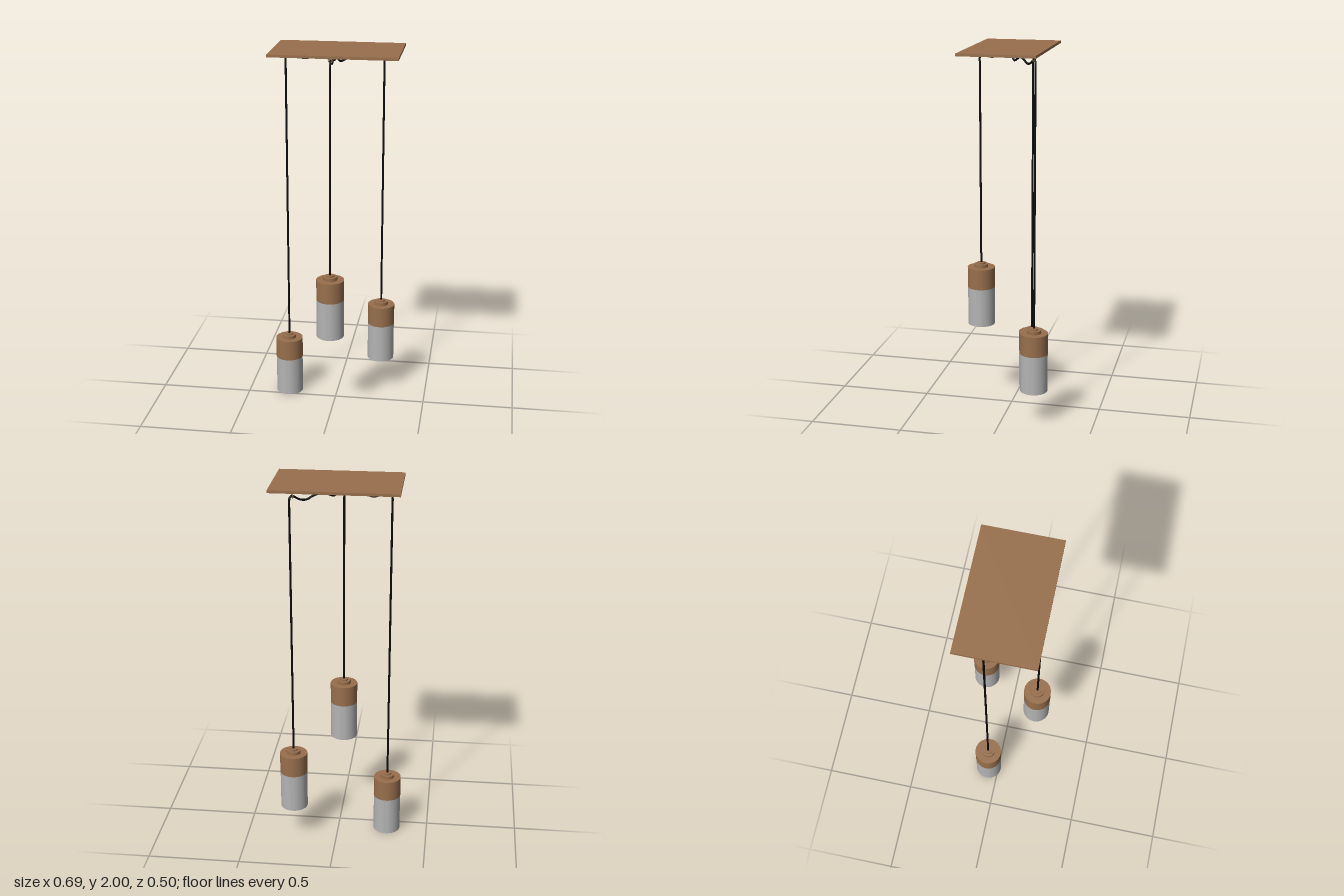
import * as THREE from 'three';
import { toCreasedNormals } from 'three/addons/utils/BufferGeometryUtils.js';

export function createModel() {
  const wood = new THREE.MeshStandardMaterial({ color: 0x986f4c });
  wood.name = 'wood';
  const glass = new THREE.MeshStandardMaterial({ color: 0xb4b4b4 });
  glass.name = 'greyShade';
  const black = new THREE.MeshStandardMaterial({ color: 0x0a0a0c });
  black.name = 'blackCable';

  const model = new THREE.Group();
  model.name = 'pendantLamp';

  function add(parent, name, geometry, material, x, y, z) {
    const mesh = new THREE.Mesh(geometry, material);
    mesh.name = name;
    mesh.position.set(x, y, z);
    parent.add(mesh);
    return mesh;
  }
  // Upright cylinder between two heights
  const disc = (parent, name, r, y0, y1, material) =>
    add(parent, name, new THREE.CylinderGeometry(r, r, y1 - y0, 48), material, 0, (y0 + y1) / 2, 0);

  // Ceiling plate and the small mounting plate beneath it
  add(model, 'ceilingPlate', new THREE.BoxGeometry(0.668, 0.014, 0.41), wood, 0.012, 1.993, 0.005);
  add(model, 'mountingPlate', new THREE.BoxGeometry(0.16, 0.009, 0.16), wood, 0.012, 1.982, 0.005);

  // Hollow shade, open at the bottom
  const R = 0.074;
  const ring = new THREE.Shape().absarc(0, 0, R, 0, Math.PI * 2, false);
  ring.holes.push(new THREE.Path().absarc(0, 0, R - 0.005, 0, Math.PI * 2, true));
  const shadeGeometry = toCreasedNormals(
    new THREE.ExtrudeGeometry(ring, { depth: 0.214, bevelEnabled: false, curveSegments: 48 })
      .rotateX(-Math.PI / 2), 0.6);

  // Pendants: lamp position, base height, and cable waves [share of run, height]
  const pendants = [
    { name: 'rightPendant', x: -0.273, y: 0, z: -0.058,
      waves: [[0.12, 1.945], [0.32, 1.963], [0.5, 1.947], [0.68, 1.938], [0.84, 1.95]] },
    { name: 'frontPendant', x: -0.004, y: 0.459, z: 0.173,
      waves: [[0.15, 1.945], [0.4, 1.962], [0.68, 1.942], [0.84, 1.95]] },
    { name: 'leftPendant', x: 0.237, y: 0.186, z: -0.175,
      waves: [[0.1, 1.933], [0.38, 1.957], [0.55, 1.95], [0.72, 1.935], [0.85, 1.942]] },
  ];

  for (const p of pendants) {
    const lamp = new THREE.Group();
    lamp.name = p.name;
    lamp.position.set(p.x, p.y, p.z);
    model.add(lamp);
    add(lamp, 'shade', shadeGeometry, glass, 0, 0, 0);
    disc(lamp, 'woodBody', R + 0.001, 0.214, 0.328, wood);
    disc(lamp, 'lowerCap', 0.038, 0.328, 0.346, wood);
    disc(lamp, 'upperCap', 0.022, 0.346, 0.354, wood);

    // Hook just inward of the drop, facing along the cable run
    const run = new THREE.Vector2(p.x, p.z);
    const length = run.length();
    run.normalize();
    const hookAt = length - 0.018;
    const hook = new THREE.Group();
    hook.name = 'cableHook';
    hook.position.set(run.x * hookAt, 0, run.y * hookAt);
    hook.rotation.y = Math.atan2(run.x, run.y);
    model.add(hook);
    disc(hook, 'hookBase', 0.012, 1.981, 1.987, wood);
    disc(hook, 'hookStem', 0.004, 1.972, 1.983, wood);
    add(hook, 'hookRing', new THREE.TorusGeometry(0.009, 0.003, 8, 20), wood, 0, 1.965, 0);

    // Swagged cable from the mounting plate through the hook
    const at = (d, y) => new THREE.Vector3(run.x * d, y, run.y * d);
    const swag = new THREE.CatmullRomCurve3([
      at(0, 1.98),
      ...p.waves.map(([t, y]) => at(t * hookAt, y)),
      at(hookAt, 1.965),
      at(length - 0.005, 1.96),
      at(length, 1.94),
      at(length, 1.9),
    ]);
    add(model, 'swagCable', new THREE.TubeGeometry(swag, 80, 0.0055, 8), black, 0, 0, 0);

    // Straight drop to the lamp
    disc(lamp, 'dropCable', 0.0055, 0.35, 1.905 - p.y, black);
  }
  return model;
}
